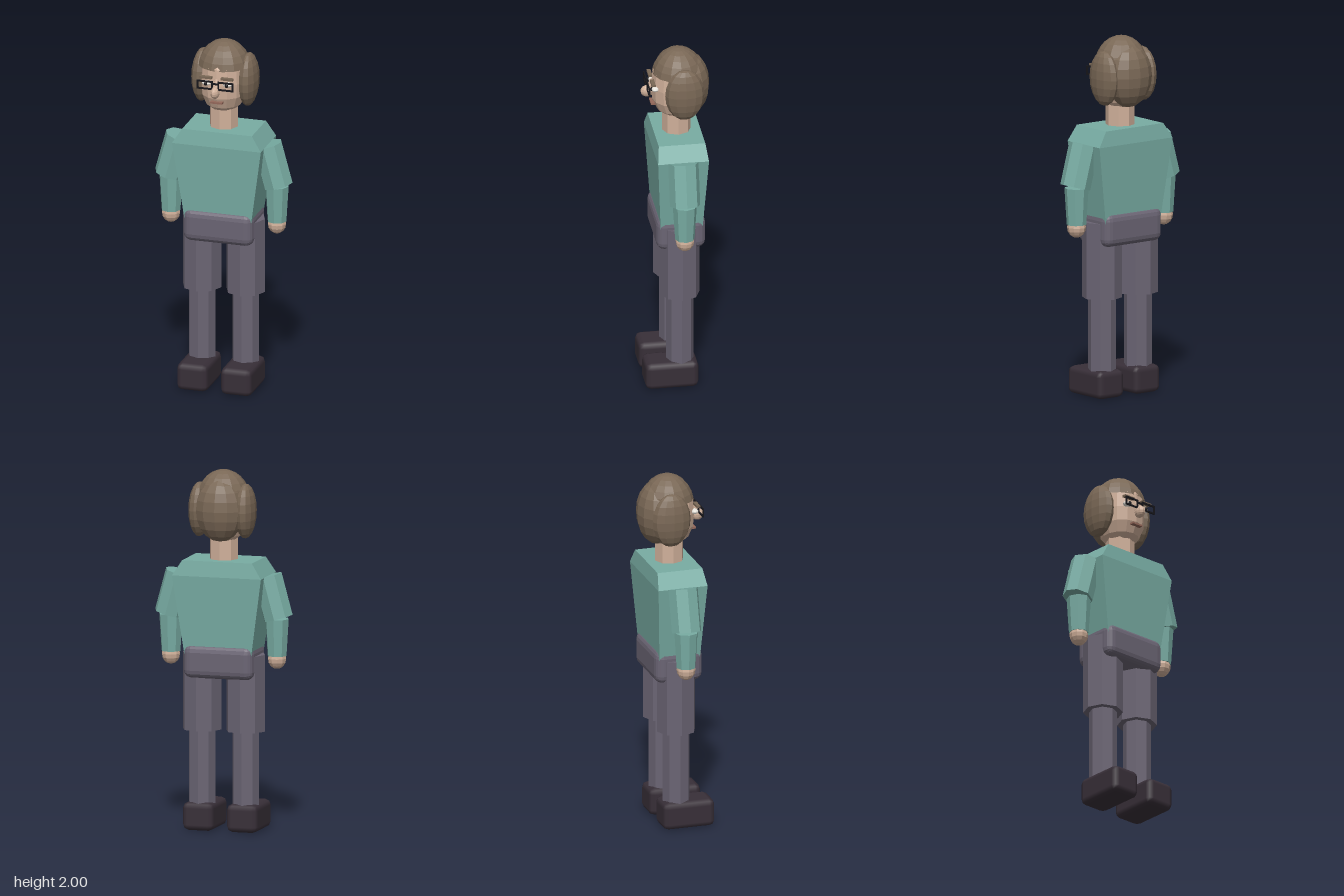
import * as THREE from 'three';
import { RoundedBoxGeometry } from 'three/addons/geometries/RoundedBoxGeometry.js';

const MID = -0.01; // depth of the body's axis

export function createModel() {
  const model = new THREE.Group();
  model.name = 'standingFigure';

  const material = (name, color, flatShading = true) => {
    const m = new THREE.MeshStandardMaterial({ color, flatShading });
    m.name = name;
    return m;
  };
  const shirt = material('shirt', 0x78aca3);
  const trousers = material('trousers', 0x6a6473);
  const trousersSmooth = trousers;
  const skin = material('skin', 0xd0b09a);
  const hair = material('hair', 0x7a6856);
  hair.side = THREE.DoubleSide;
  const shoe = material('shoe', 0x382f38, false);
  const frame = material('glassesFrame', 0x17161b);
  const white = material('eyeWhite', 0xe8e4dc);
  const lips = material('lips', 0x94685a);

  const add = (name, geometry, mat, x, y, z) => {
    const mesh = new THREE.Mesh(geometry, mat);
    mesh.name = name;
    mesh.position.set(x, y, z);
    model.add(mesh);
    return mesh;
  };
  const box = (name, mat, w, h, d, x, y, z) =>
    add(name, new THREE.BoxGeometry(w, h, d), mat, x, y, z);
  const ball = (name, mat, rx, ry, rz, x, y, z, ws = 12, hs = 8) =>
    add(name, new THREE.SphereGeometry(1, ws, hs).scale(rx, ry, rz), mat, x, y, z);
  const limb = (name, mat, rTop, rBottom, y0, y1, x) =>
    add(name, new THREE.CylinderGeometry(rTop, rBottom, y1 - y0, 8), mat, x, (y0 + y1) / 2, MID);

  // Torso: box with three levels, each given its own half width and depth range
  const levels = [
    { y: 0.96, w: 0.188, back: -0.125, front: 0.105 },
    { y: 1.42, w: 0.255, back: -0.152, front: 0.13 },
    { y: 1.505, w: 0.2, back: -0.14, front: 0.118 },
  ];
  const torso = new THREE.BoxGeometry(2, 2, 2, 1, 2, 1);
  const p = torso.attributes.position;
  for (let i = 0; i < p.count; i++) {
    const l = levels[Math.round(p.getY(i)) + 1];
    p.setXYZ(i, Math.sign(p.getX(i)) * l.w, l.y, p.getZ(i) > 0 ? l.front : l.back);
  }
  torso.computeVertexNormals();
  add('torso', torso, shirt, 0, 0, 0);

  // Pelvis and neck
  add('pelvis', new RoundedBoxGeometry(0.4, 0.19, 0.272, 2, 0.045), trousersSmooth, 0, 0.945, MID);
  limb('neck', skin, 0.08, 0.08, 1.46, 1.66, 0);

  // Limbs on both sides
  for (const s of [1, -1]) {
    const side = s > 0 ? 'left' : 'right';
    limb(side + 'Thigh', trousers, 0.11, 0.11, 0.555, 0.98, s * 0.125);
    limb(side + 'Calf', trousers, 0.077, 0.077, 0.1, 0.57, s * 0.125);
    add(side + 'Shoe', new RoundedBoxGeometry(0.178, 0.155, 0.295, 1, 0.032), shoe, s * 0.126, 0.0775, 0.043);

    const upper = add(side + 'UpperArm', new THREE.CylinderGeometry(0.084, 0.084, 0.24, 8), shirt, s * 0.281, 1.304, MID);
    upper.rotation.z = s * 0.266;
    limb(side + 'Forearm', shirt, 0.067, 0.054, 0.98, 1.185, s * 0.304);
    ball(side + 'Hand', skin, 0.052, 0.058, 0.052, s * 0.304, 0.965, MID, 10, 8);
  }

  // Head: lathed profile, slightly deeper than wide
  const profile = [[0, 1.595], [0.055, 1.602], [0.1, 1.64], [0.124, 1.7], [0.129, 1.78],
    [0.122, 1.87], [0.08, 1.95], [0, 1.975]].map(([r, y]) => new THREE.Vector2(r, y));
  add('head', new THREE.LatheGeometry(profile, 14).scale(1, 1, 1.1), skin, 0, 0, -0.012);

  // Hair: open cap, rounded back and two side lobes
  const capAngle = Math.acos(0.2);
  add('hairCap', new THREE.SphereGeometry(1, 14, 6, 0, Math.PI * 2, 0, capAngle).scale(0.15, 0.175, 0.147),
    hair, 0, 1.826, -0.02);
  ball('hairBack', hair, 0.14, 0.175, 0.105, 0, 1.785, -0.087, 12, 10);
  for (const s of [1, -1]) {
    ball('hairSide', hair, 0.055, 0.152, 0.109, s * 0.132, 1.778, -0.037, 12, 10);
  }

  // Nose
  ball('noseTip', skin, 0.025, 0.034, 0.036, 0, 1.75, 0.153, 10, 8);
  add('noseBridge', new THREE.CylinderGeometry(0.011, 0.022, 0.07, 8), skin, 0, 1.785, 0.134).rotation.x = -0.25;

  // Eyes, brows and glasses
  const rim = 0.009;
  for (const s of [1, -1]) {
    const x = s * 0.06;
    ball('eye', white, 0.028, 0.014, 0.022, x, 1.79, 0.117, 10, 6);
    ball('pupil', frame, 0.01, 0.011, 0.008, x, 1.79, 0.137, 8, 6);
    box('eyebrow', hair, 0.07, 0.012, 0.022, s * 0.061, 1.826, 0.129);
    for (const t of [1, -1]) {
      box('rimBar', frame, 0.092, rim, 0.007, x, 1.79 + t * 0.021, 0.154);
      box('rimPost', frame, rim, 0.05, 0.007, x + t * 0.0415, 1.79, 0.154);
    }
  }
  box('glassesBridge', frame, 0.034, rim, 0.007, 0, 1.8, 0.154);

  // Mouth
  box('mouth', lips, 0.068, 0.01, 0.025, 0, 1.682, 0.123);

  return model;
}
